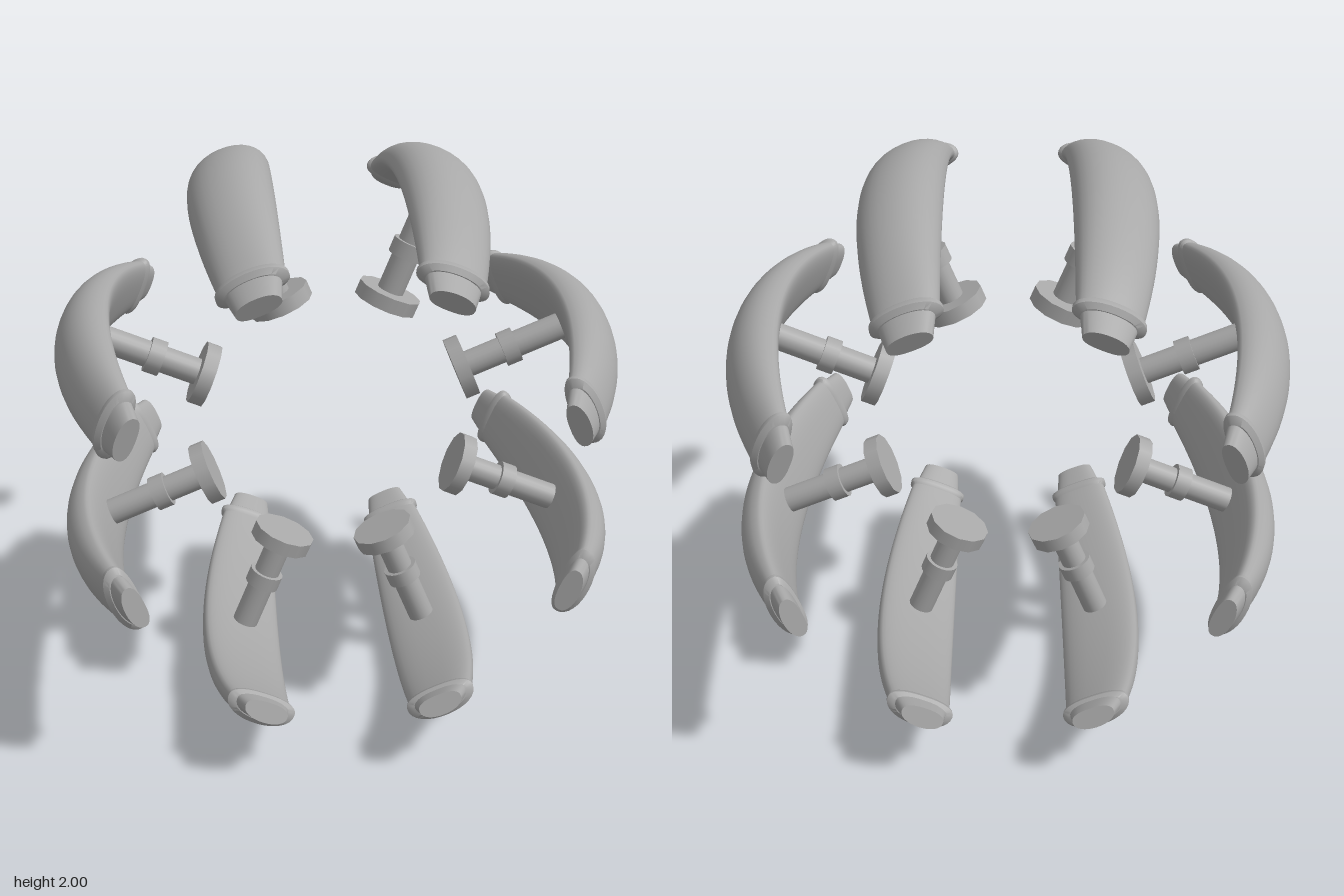
import * as THREE from 'three';
import { toCreasedNormals } from 'three/addons/utils/BufferGeometryUtils.js';

const SPINE_R = 2.137, CENTRE = 0.945, COLLAR = 0.354, TIP = 0.404, SIDES = 32;

// D-shaped sections (angle along spine, half width, outer depth, inner depth) lofted along an arc
function loft(stations) {
  const pos = [], index = [];
  const put = (phi, x, h) => pos.push(
    x,
    CENTRE - SPINE_R + (SPINE_R + h) * Math.cos(phi),
    (SPINE_R + h) * Math.sin(phi));
  const bend = (v, p) => Math.sign(v) * Math.abs(v) ** p;
  for (const [phi, width, outer, inner] of stations) {
    for (let j = 0; j < SIDES; j++) {
      const a = (j / SIDES) * Math.PI * 2, c = Math.cos(a), s = Math.sin(a);
      if (c >= 0) put(phi, width * bend(s, 0.95), outer * bend(c, 0.95));
      else put(phi, width * bend(s, 0.8), inner * bend(c, 0.8));
    }
  }
  const n = stations.length, first = n * SIDES, last = first + 1;
  put(stations[0][0], 0, 0);
  put(stations[n - 1][0], 0, 0);
  for (let j = 0; j < SIDES; j++) {
    const k = (j + 1) % SIDES;
    for (let i = 0; i < n - 1; i++) {
      const a = i * SIDES + j, b = i * SIDES + k, c = b + SIDES, d = a + SIDES;
      index.push(a, d, b, b, d, c);
    }
    index.push(first, j, k, last, (n - 1) * SIDES + k, (n - 1) * SIDES + j);
  }
  const g = new THREE.BufferGeometry();
  g.setAttribute('position', new THREE.Float32BufferAttribute(pos, 3));
  g.setIndex(index);
  return toCreasedNormals(g, 0.7);
}

// radial cylinder from one distance to another
function radial(radius, from, to, sides) {
  return new THREE.CylinderGeometry(radius, radius, to - from, sides).translate(0, (from + to) / 2, 0);
}

export function createModel() {
  const grey = new THREE.MeshStandardMaterial({ color: 0xa8a8a8 });
  grey.name = 'grey';

  // curved body, widest in the middle
  const bodyStations = [];
  for (let i = 0; i <= 28; i++) {
    const u = i / 14 - 1, q = u * u;
    bodyStations.push([u * COLLAR, 0.155 - 0.045 * q, 0.12 - 0.065 * q, 0.04 - 0.006 * q]);
  }
  // collar ring and tapered tip at the front end
  const collarStations = [
    [COLLAR - 0.011, 0.108, 0.053, 0.032],
    [COLLAR - 0.004, 0.122, 0.064, 0.043],
    [COLLAR + 0.004, 0.122, 0.064, 0.043],
    [COLLAR + 0.011, 0.1, 0.048, 0.03],
  ];
  const tipStations = [
    [COLLAR, 0.098, 0.048, 0.033],
    [TIP, 0.076, 0.038, 0.032],
  ];
  const flip = (list) => list.map(([p, ...rest]) => [-p, ...rest]).reverse();

  const parts = [
    ['body', loft(bodyStations)],
    ['frontCollar', loft(collarStations)],
    ['backCollar', loft(flip(collarStations))],
    ['frontTip', loft(tipStations)],
    ['backTip', loft(flip(tipStations))],
    ['strut', radial(0.049, 0.52, 0.95, 20)],
    ['strutSleeve', radial(0.065, 0.675, 0.732, 20)],
    ['disc', radial(0.118, 0.487, 0.54, 12)],
  ];

  // eight identical units around the central axis
  const model = new THREE.Group();
  model.name = 'radialArray';
  for (let i = 0; i < 8; i++) {
    const unit = new THREE.Group();
    unit.name = `unit${i + 1}`;
    for (const [name, geometry] of parts) {
      const mesh = new THREE.Mesh(geometry, grey);
      mesh.name = name;
      unit.add(mesh);
    }
    unit.position.y = 1;
    unit.rotation.z = Math.PI / 8 + (i * Math.PI) / 4;
    model.add(unit);
  }
  return model;
}
